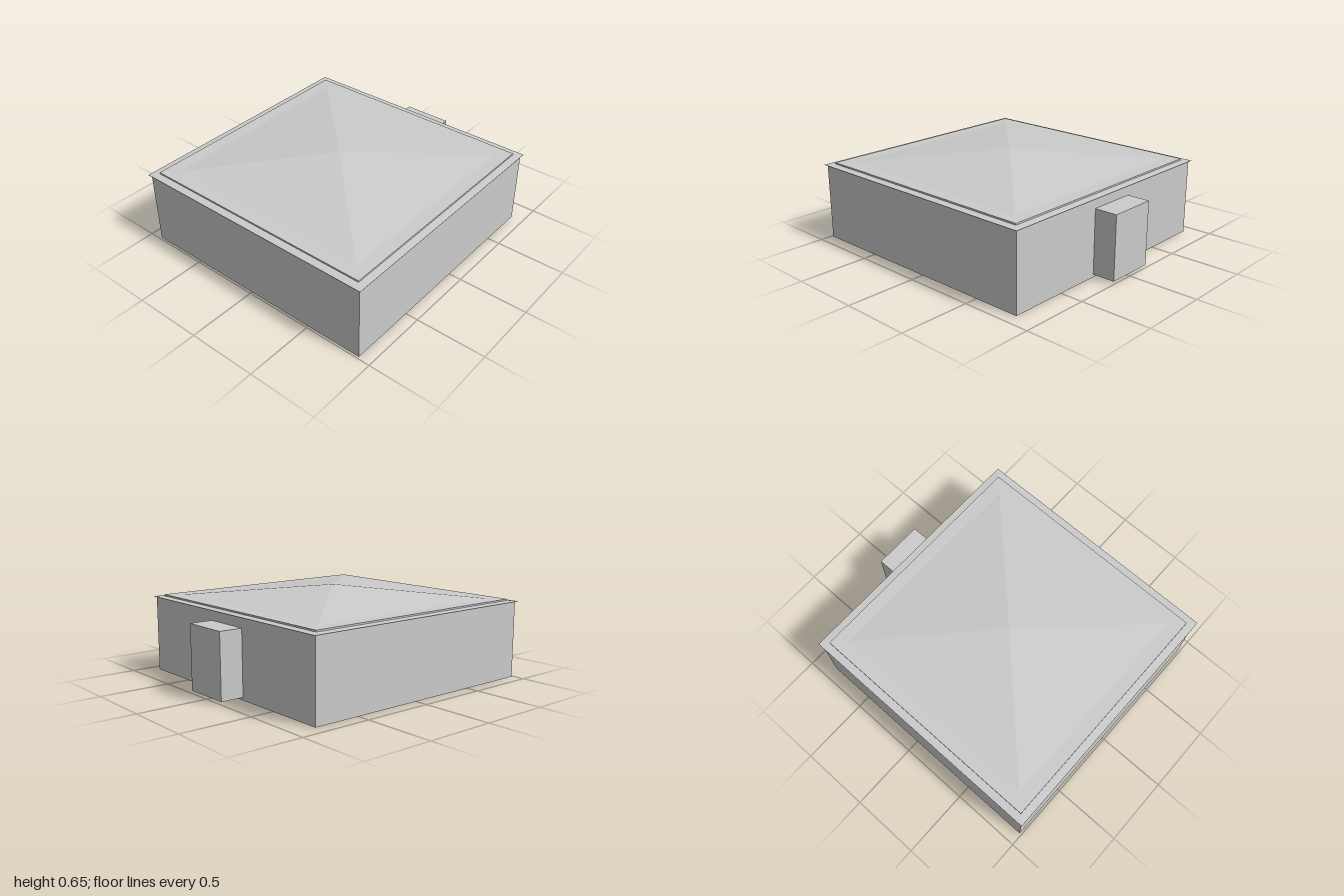
import * as THREE from 'three';

const CENTRE_X = -0.075;

// Square rings [half width, height] joined bottom to top into a flat-shaded skin
function loftSquares(rings) {
  const corners = [[-1, 1], [1, 1], [1, -1], [-1, -1]];
  const positions = [];
  const point = ([half, y], i) => [corners[i % 4][0] * half, y, corners[i % 4][1] * half];
  for (let r = 0; r < rings.length - 1; r++) {
    const [low, high] = [rings[r], rings[r + 1]];
    for (let i = 0; i < 4; i++) {
      const a = point(low, i), b = point(low, i + 1);
      const c = point(high, i + 1), d = point(high, i);
      positions.push(...a, ...b, ...c);
      if (high[0] > 0) positions.push(...a, ...c, ...d);
    }
  }
  const geometry = new THREE.BufferGeometry();
  geometry.setAttribute('position', new THREE.Float32BufferAttribute(positions, 3));
  geometry.computeVertexNormals();
  return geometry;
}

export function createModel() {
  const model = new THREE.Group();
  model.name = 'squareBuilding';
  const material = new THREE.MeshStandardMaterial({ color: 0xcccccc, flatShading: true });
  const sheet = material.clone();
  sheet.side = THREE.DoubleSide;

  const add = (name, geometry, mat, x, y, z) => {
    const mesh = new THREE.Mesh(geometry, mat);
    mesh.name = name;
    mesh.position.set(x, y, z);
    model.add(mesh);
  };

  // Main block
  add('walls', new THREE.BoxGeometry(1.82, 0.547, 1.82), material, CENTRE_X, 0.2735, 0);

  // Thin overhanging eave, rising slightly towards the roof
  add('eave', loftSquares([[0.91, 0.546], [0.925, 0.546], [0.925, 0.548], [0.87, 0.552]]),
    sheet, CENTRE_X, 0, 0);

  // Low curb with a flat rim and a shallow pyramid
  add('roof', loftSquares([[0.87, 0.55], [0.87, 0.563], [0.775, 0.564], [0, 0.654]]),
    sheet, CENTRE_X, 0, 0);

  // Box projecting from the side wall
  add('sideBox', new THREE.BoxGeometry(0.17, 0.455, 0.352), material, 0.915, 0.2475, 0);

  return model;
}
